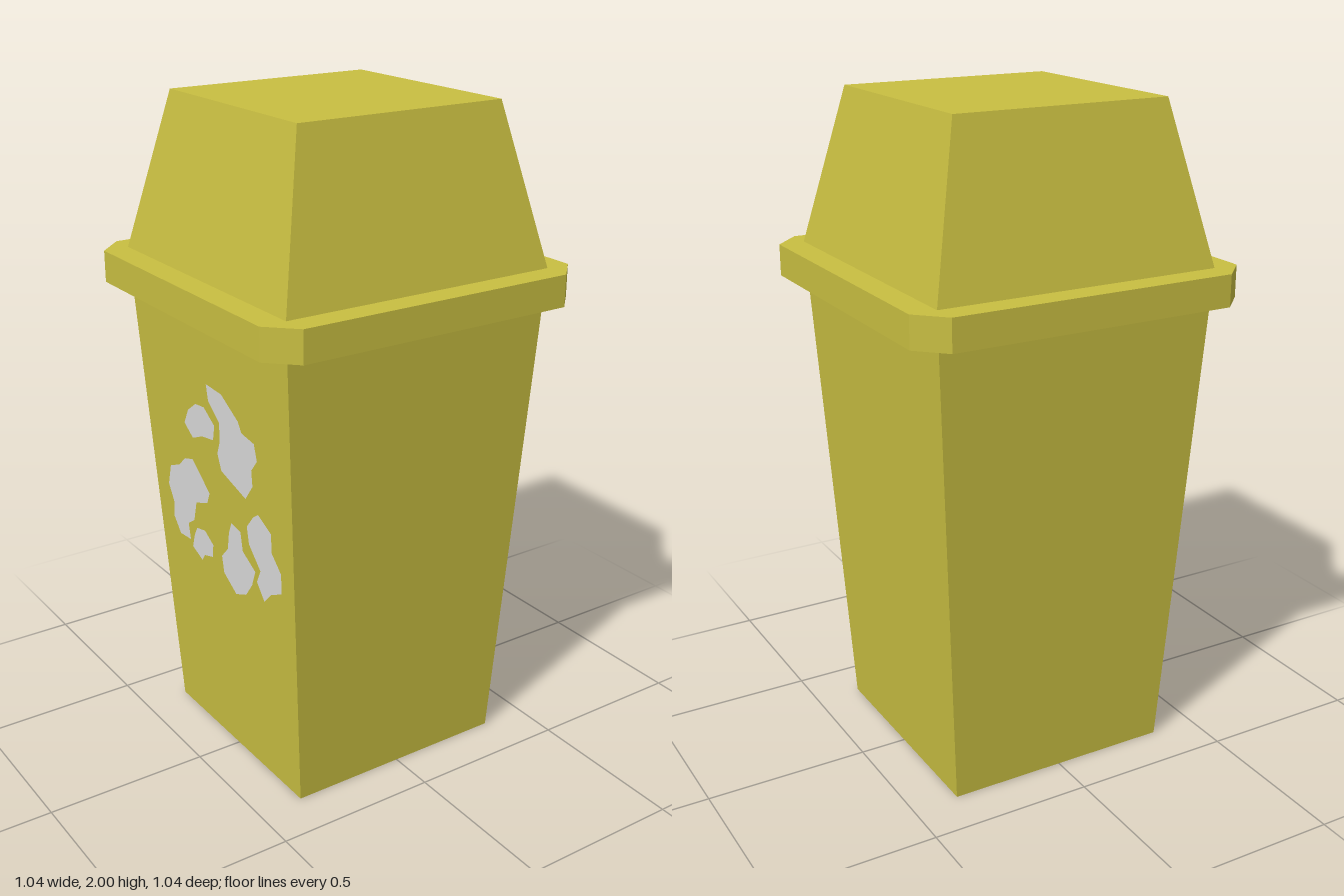
import * as THREE from 'three';

const BASE = 0.356, NECK = 0.439, TOP = 0.333; // half widths
const RIM_LOW = 1.435, RIM_HIGH = 1.53, HEIGHT = 2;
const SLOPE = (NECK - BASE) / RIM_HIGH;

// Outlines of the worn paint patches as [z, y] on the side wall
const PATCHES = [
  [[-.015, 1.22], [.07, 1.215], [.155, 1.16], [.17, 1.13], [.235, 1.12], [.245, 1.07], [.21, 1.03],
    [.21, .98], [.165, .925], [.035, .965], [.02, 1.015], [.04, 1.06], [.045, 1.12], [-.01, 1.17]],
  [[-.04, 1.14], [.015, 1.1], [0, 1.05], [-.065, 1.04], [-.125, 1.015], [-.17, 1.05], [-.14, 1.1], [-.09, 1.135]],
  [[.23, .9], [.295, .865], [.29, .805], [.335, .755], [.33, .69], [.27, .66], [.23, .62], [.195, .67],
    [.22, .715], [.165, .78], [.16, .835], [.2, .88]],
  [[.07, .81], [.12, .8], [.125, .74], [.19, .7], [.165, .645], [.125, .595], [.065, .57], [0, .615],
    [-.005, .67], [.035, .71], [.05, .77]],
  [[-.14, .94], [-.05, .86], [-.07, .82], [-.14, .795], [-.165, .725], [-.205, .7], [-.2, .645],
    [-.265, .64], [-.3, .69], [-.29, .74], [-.315, .795], [-.29, .865], [-.23, .89], [-.19, .925]],
  [[-.1, .715], [-.055, .685], [-.065, .64], [-.115, .625], [-.135, .6], [-.19, .625], [-.17, .675], [-.15, .705]],
];

// Square frustum standing on y = y0
function frustum(name, halfLow, halfHigh, y0, y1, material) {
  const geo = new THREE.CylinderGeometry(halfHigh * Math.SQRT2, halfLow * Math.SQRT2, y1 - y0, 4);
  geo.rotateY(Math.PI / 4);
  geo.translate(0, (y0 + y1) / 2, 0);
  const mesh = new THREE.Mesh(geo, material);
  mesh.name = name;
  return mesh;
}

const toShape = (points) => new THREE.Shape(points.map(([x, y]) => new THREE.Vector2(x, y)));

export function createModel() {
  const plastic = new THREE.MeshStandardMaterial({ color: 0xc8be41 });
  plastic.name = 'yellow plastic';
  plastic.flatShading = true;
  const paint = new THREE.MeshStandardMaterial({ color: 0xdcdcdc });
  paint.name = 'pale grey paint';

  const model = new THREE.Group();
  model.name = 'bin';

  // Body and lid
  model.add(frustum('body', BASE, NECK, 0, RIM_HIGH, plastic));
  model.add(frustum('lid', NECK, TOP, RIM_HIGH, HEIGHT, plastic));

  // Rim with chamfered corners
  const w = 0.518, c = 0.438;
  const rimShape = toShape([[w, -c], [w, c], [c, w], [-c, w], [-w, c], [-w, -c], [-c, -w], [c, -w]]);
  const rimGeo = new THREE.ExtrudeGeometry(rimShape, { depth: RIM_HIGH - RIM_LOW, bevelEnabled: false });
  rimGeo.rotateX(-Math.PI / 2);
  rimGeo.translate(0, RIM_LOW, 0);
  const rim = new THREE.Mesh(rimGeo, plastic);
  rim.name = 'rim';
  model.add(rim);

  // Paint patches lying on the sloping right wall
  const patchGeo = new THREE.ShapeGeometry(PATCHES.map(toShape));
  const pos = patchGeo.attributes.position;
  for (let i = 0; i < pos.count; i++) pos.setZ(i, BASE + SLOPE * pos.getY(i) + 0.003);
  patchGeo.rotateY(-Math.PI / 2);
  patchGeo.computeVertexNormals();
  const patches = new THREE.Mesh(patchGeo, paint);
  patches.name = 'paintPatches';
  model.add(patches);

  return model;
}
